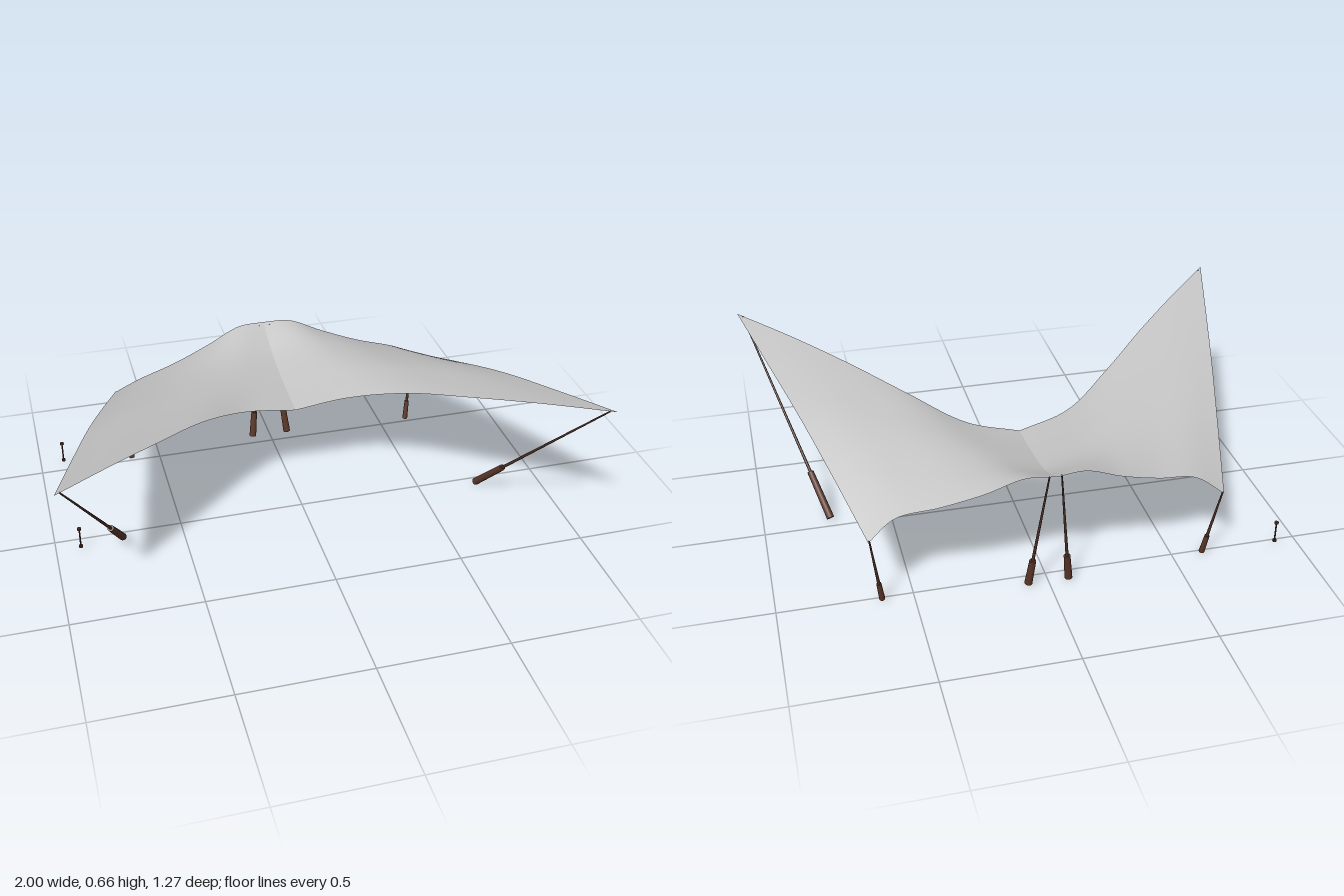
import * as THREE from 'three';

const fabric = new THREE.MeshStandardMaterial({ color: 0xc4c4c4, side: THREE.DoubleSide });
fabric.name = 'grey fabric';
const wood = new THREE.MeshStandardMaterial({ color: 0x5a3628 });
wood.name = 'brown wood';
const cord = new THREE.MeshStandardMaterial({ color: 0x4a2e24 });
cord.name = 'dark brown cord';

const V = (x, y, z) => new THREE.Vector3(x, y, z);
const curve = (...pts) => new THREE.CatmullRomCurve3(pts.map(p => V(...p)));

// Four edges of one canopy half (u: centre to outside, v: front to back)
const frontEdge = curve([0, 0.39, -0.10], [0.2, 0.435, -0.065], [0.4, 0.51, 0.08],
  [0.6, 0.57, 0.27], [0.8, 0.62, 0.455], [1, 0.66, 0.635]);
const backEdge = curve([0, 0.512, -0.638], [0.11, 0.512, -0.625], [0.25, 0.455, -0.603],
  [0.4, 0.405, -0.573], [0.56, 0.365, -0.545], [0.66, 0.30, -0.575]);
const seam = curve([0, 0.39, -0.10], [0, 0.405, -0.27], [0, 0.44, -0.47], [0, 0.512, -0.638]);
const sideEdge = curve([1, 0.66, 0.635], [0.915, 0.587, 0.33], [0.825, 0.505, 0.01],
  [0.74, 0.405, -0.29], [0.66, 0.30, -0.575]);

// Surface stretched between the four edges
function canopyPoint(u, v) {
  const p = V(0, 0, 0);
  p.addScaledVector(frontEdge.getPoint(u), 1 - v).addScaledVector(backEdge.getPoint(u), v);
  p.addScaledVector(seam.getPoint(v), 1 - u).addScaledVector(sideEdge.getPoint(v), u);
  p.addScaledVector(frontEdge.getPoint(0), -(1 - u) * (1 - v));
  p.addScaledVector(frontEdge.getPoint(1), -u * (1 - v));
  p.addScaledVector(backEdge.getPoint(0), -(1 - u) * v);
  p.addScaledVector(backEdge.getPoint(1), -u * v);
  return p;
}

function canopyHalf(side) {
  const n = 32, pos = [], index = [];
  for (let j = 0; j <= n; j++) {
    for (let i = 0; i <= n; i++) {
      const p = canopyPoint(i / n, j / n);
      pos.push(side * p.x, p.y, p.z);
      if (i === n || j === n) continue;
      const a = j * (n + 1) + i, b = a + 1, c = b + n + 1, d = a + n + 1;
      if (side > 0) index.push(a, b, c, a, c, d);
      else index.push(a, c, b, a, d, c);
    }
  }
  const geo = new THREE.BufferGeometry();
  geo.setAttribute('position', new THREE.Float32BufferAttribute(pos, 3));
  geo.setIndex(index);
  geo.computeVertexNormals();
  const mesh = new THREE.Mesh(geo, fabric);
  mesh.name = side > 0 ? 'leftCanopy' : 'rightCanopy';
  return mesh;
}

// Tapered rod between two points
function rod(name, from, to, r0, r1, material) {
  const dir = to.clone().sub(from);
  const mesh = new THREE.Mesh(new THREE.CylinderGeometry(r1, r0, dir.length(), 12), material);
  mesh.position.copy(from).addScaledVector(dir, 0.5);
  mesh.quaternion.setFromUnitVectors(V(0, 1, 0), dir.normalize());
  mesh.name = name;
  return mesh;
}

// Thin cord down to a thick wooden post
function support(name, foot, top, gripHeight, radius) {
  const g = new THREE.Group();
  g.name = name;
  const grip = foot.clone().lerp(top, (gripHeight - foot.y) / (top.y - foot.y));
  g.add(rod('post', foot, grip, radius, radius * 0.85, wood));
  g.add(rod('cord', grip, top, 0.006, 0.003, cord));
  return g;
}

// Small spool-shaped peg
function peg(z) {
  const g = new THREE.Group();
  g.name = 'peg';
  g.add(rod('pegShaft', V(0, 0.02, 0), V(0, 0.11, 0), 0.003, 0.003, cord));
  for (const y of [0.02, 0.102]) {
    g.add(rod('pegCap', V(0, y, 0), V(0, y + 0.008, 0), 0.008, 0.008, cord));
  }
  g.position.set(-0.905, 0, z);
  return g;
}

export function createModel() {
  const model = new THREE.Group();
  model.name = 'canopyShelter';
  for (const s of [1, -1]) {
    model.add(canopyHalf(s));
    model.add(support('frontSupport', V(s * 0.738, 0.009, 0.042), V(s * 0.98, 0.655, 0.615), 0.155, 0.015));
    model.add(support('sideSupport', V(s * 0.617, 0.004, -0.515), V(s * 0.656, 0.305, -0.57), 0.085, 0.011));
    model.add(support('backSupport', V(s * 0.077, 0.004, -0.55), V(s * 0.022, 0.507, -0.622), 0.115, 0.015));
  }
  model.add(peg(0.08), peg(-0.54));
  return model;
}
